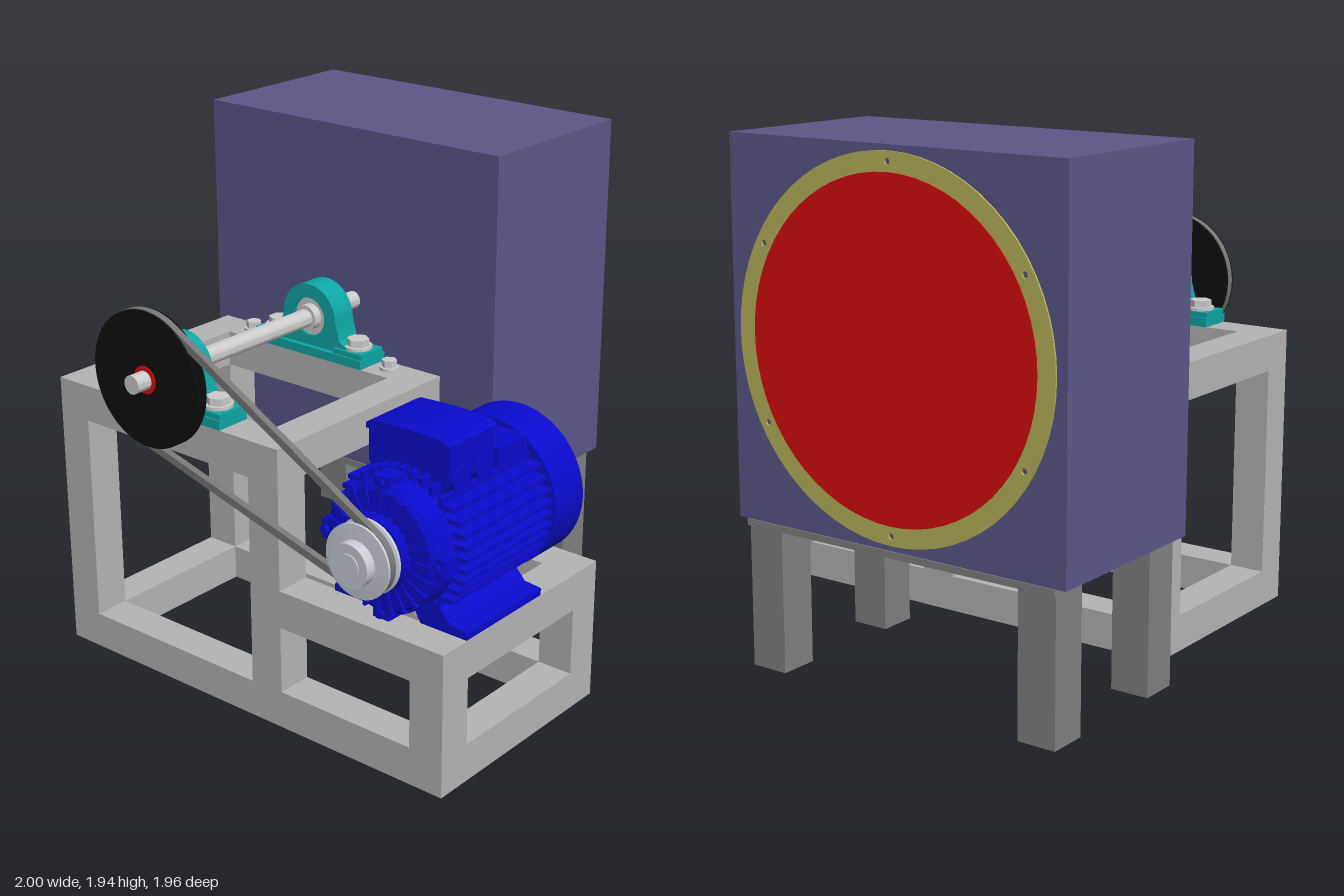
import * as THREE from 'three';
import { toCreasedNormals } from 'three/addons/utils/BufferGeometryUtils.js';

const mat = (color) => new THREE.MeshStandardMaterial({ color });
const M = {
  frame: mat(0xb4b4b4), stand: mat(0x808080), casing: mat(0x5a5789), steel: mat(0xc4c4c4), alloy: mat(0xc8cdd8),
  teal: mat(0x0fa5a5), blue: mat(0x0a0acc), black: mat(0x0e0e0e), red: mat(0xd80c0c), yellow: mat(0xb9b45a), belt: mat(0x777777),
};

function add(parent, name, geometry, material, x = 0, y = 0, z = 0) {
  const mesh = new THREE.Mesh(geometry, material);
  mesh.name = name;
  mesh.position.set(x, y, z);
  parent.add(mesh);
  return mesh;
}
function group(parent, name, x = 0, y = 0, z = 0) {
  const g = new THREE.Group();
  g.name = name;
  g.position.set(x, y, z);
  parent.add(g);
  return g;
}
// Box given by its limits on each axis
function box(parent, name, m, [x0, x1], [y0, y1], [z0, z1]) {
  return add(parent, name, new THREE.BoxGeometry(x1 - x0, y1 - y0, z1 - z0), m,
    (x0 + x1) / 2, (y0 + y1) / 2, (z0 + z1) / 2);
}
// Solid of revolution about z, profile of [radius, z] with z rising
function turned(parent, name, m, profile, x = 0, y = 0, z = 0, sides = 48) {
  const g = new THREE.LatheGeometry(profile.map(([r, h]) => new THREE.Vector2(r, h)), sides).rotateX(Math.PI / 2);
  return add(parent, name, toCreasedNormals(g, 0.5), m, x, y, z);
}
const rod = (parent, name, m, r, z0, z1, x = 0, y = 0, sides = 32) =>
  turned(parent, name, m, [[0, z0], [r, z0], [r, z1], [0, z1]], x, y, 0, sides);
// Outline extruded along z
function extruded(parent, name, m, shape, z0, z1) {
  const g = new THREE.ExtrudeGeometry(shape, { depth: z1 - z0, bevelEnabled: false, curveSegments: 32 });
  return add(parent, name, toCreasedNormals(g, 0.5), m, 0, 0, z0);
}
const polygon = (pts) => new THREE.Shape(pts.map(([x, y]) => new THREE.Vector2(x, y)));

function addFrame(root) {
  const f = group(root, 'machineFrame');
  const w = 0.14, zs = [[-0.09, 0.05], [0.68, 0.82]];
  for (const z of zs) {
    for (const x of [-0.82, 0.13]) box(f, 'tallPost', M.frame, [x, x + w], [0.01, 1.1], z);
    box(f, 'shortPost', M.frame, [0.855, 0.995], [0.01, 0.56], z);
    box(f, 'upperRail', M.frame, [-0.68, 0.13], [0.96, 1.1], z);
    box(f, 'leftBottomRail', M.frame, [-0.68, 0.13], [0.01, 0.15], z);
    for (const y of [0.01, 0.415]) box(f, 'motorBayRail', M.frame, [0.27, 0.855], [y, y + 0.145], z);
  }
  const span = [0.05, 0.68];
  for (const x of [-0.82, 0.13]) box(f, 'topCrossRail', M.frame, [x, x + w], [0.96, 1.1], span);
  box(f, 'sideBottomRail', M.frame, [-0.82, -0.68], [0.01, 0.15], span);
  for (const y of [0.01, 0.415]) box(f, 'motorEndRail', M.frame, [0.855, 0.995], [y, y + 0.145], span);
}

function addCasing(root) {
  const c = group(root, 'fanCasing');
  box(c, 'casingBox', M.casing, [-1, 0.415], [0.56, 1.94], [-0.97, -0.23]);
  box(c, 'standPlate', M.stand, [-0.96, 0.375], [0.535, 0.56], [-0.975, -0.225]);
  // Legs are open square tubes
  const h = 0.075, t = 0.06;
  for (const x of [-0.88, 0.3]) for (const z of [-0.315, -0.885]) {
    const tube = polygon([[-h, -h], [h, -h], [h, h], [-h, h]]);
    tube.holes.push(polygon([[-t, -t], [-t, t], [t, t], [t, -t]]));
    const g = new THREE.ExtrudeGeometry(tube, { depth: 0.535, bevelEnabled: false }).rotateX(-Math.PI / 2);
    add(c, 'standLeg', g, M.stand, x, 0, z);
  }
  // Round rear cover with a bolted rim
  const rim = new THREE.Shape().absarc(0, 0, 0.67, 0, Math.PI * 2);
  for (let i = 0; i < 6; i++) {
    const a = Math.PI / 2 + i * Math.PI / 3;
    rim.holes.push(new THREE.Path().absarc(0.635 * Math.cos(a), 0.635 * Math.sin(a), 0.011, 0, Math.PI * 2));
  }
  extruded(c, 'rearRim', M.yellow, rim, -0.977, -0.968).position.set(-0.29, 1.25, -0.977);
  rod(c, 'rearDisc', M.red, 0.6, -0.98, -0.972, -0.29, 1.25, 64);
}

function bolt(parent, x, y, z, r) {
  const b = group(parent, 'bolt', x, y, z);
  add(b, 'washer', new THREE.CylinderGeometry(r * 1.25, r * 1.25, 0.012, 24), M.steel, 0, 0.006, 0);
  add(b, 'hexHead', toCreasedNormals(new THREE.CylinderGeometry(r, r, 0.03, 6), 0.5), M.steel, 0, 0.024, 0);
}

function addBearing(root, z) {
  const b = group(root, 'pillowBearing', -0.27, 1.25, z);
  // Flanged foot and rounded housing in one outline
  const s = polygon([[-0.2, -0.15], [0.2, -0.15], [0.2, -0.1], [0.15, -0.07], [0.13, 0]]);
  s.absarc(0, 0, 0.13, 0, Math.PI);
  s.lineTo(-0.15, -0.07);
  s.lineTo(-0.2, -0.1);
  s.holes.push(new THREE.Path().absarc(0, 0, 0.075, 0, Math.PI * 2, true));
  extruded(b, 'housing', M.teal, s, -0.052, 0.052);
  box(b, 'footPlate', M.teal, [-0.27, 0.27], [-0.15, -0.115], [-0.072, 0.072]);
  for (const side of [-1, 1]) {
    const x = side * 0.2;
    box(b, 'footPad', M.teal, [x - 0.068, x + 0.068], [-0.12, -0.095], [-0.065, 0.065]);
    bolt(b, x, -0.095, 0, 0.044);
  }
  rod(b, 'bearingInsert', M.steel, 0.078, -0.04, 0.04);
  rod(b, 'lockCollar', M.steel, 0.05, -0.075, 0.075);
}

function addDrive(root) {
  const d = group(root, 'beltDrive');
  const A = [-0.27, 1.25], B = [0.705, 0.85];
  rod(d, 'driveShaft', M.steel, 0.035, -0.5, 0.975, ...A);
  turned(d, 'largePulley', M.black, [[0, 0.862], [0.255, 0.862], [0.255, 0.871], [0.225, 0.878], [0.225, 0.892],
    [0.255, 0.899], [0.255, 0.908], [0, 0.908]], ...A, 0, 64);
  rod(d, 'pulleyHub', M.red, 0.052, 0.8, 0.912, ...A);
  turned(d, 'smallPulley', M.alloy, [[0, 0.845], [0.1, 0.845], [0.135, 0.852], [0.135, 0.862], [0.1, 0.876], [0.1, 0.892],
    [0.135, 0.906], [0.135, 0.916], [0.08, 0.92], [0.08, 0.96], [0, 0.96]], ...B);
  rod(d, 'motorShaft', M.alloy, 0.045, 0.78, 0.965, ...B);
  // Belt loop from the tangents common to both pulleys
  const dx = B[0] - A[0], dy = B[1] - A[1], tilt = Math.atan2(dy, dx);
  const loop = (path, R, r) => {
    const a = Math.acos((R - r) / Math.hypot(dx, dy));
    path.absarc(...A, R, tilt + a, tilt - a + Math.PI * 2);
    path.absarc(...B, r, tilt - a, tilt + a);
    path.closePath();
    return path;
  };
  const belt = loop(new THREE.Shape(), 0.257, 0.13);
  belt.holes.push(loop(new THREE.Path(), 0.229, 0.102));
  extruded(d, 'belt', M.belt, belt, 0.872, 0.898);
}

function addMotor(root) {
  const m = group(root, 'motor', 0.705, 0.85, 0);
  rod(m, 'motorBody', M.blue, 0.225, 0.15, 0.72, 0, 0, 48);
  turned(m, 'fanCowl', M.blue, [[0, -0.07], [0.2, -0.07], [0.285, 0.01], [0.285, 0.18], [0, 0.18]]);
  turned(m, 'endShield', M.blue, [[0, 0.69], [0.235, 0.69], [0.235, 0.785], [0.215, 0.8], [0.14, 0.805],
    [0.12, 0.828], [0, 0.828]]);
  // Cooling fins, level on the flanks and upright above and below
  const reach = (o, r) => Math.sqrt(r * r - o * o);
  for (let i = -4; i <= 4; i++) {
    const o = i * 0.042;
    for (const s of [-1, 1]) {
      const tip = reach(o, 0.283), root0 = reach(o, 0.2);
      const xs = s > 0 ? [root0, tip] : [-tip, -root0];
      box(m, 'sideFin', M.blue, xs, [o - 0.008, o + 0.008], [0.19, 0.69]);
      const up = reach(o, 0.262);
      const ys = s > 0 ? [root0, up] : [-up, -root0];
      box(m, 'uprightFin', M.blue, [o - 0.008, o + 0.008], ys, [0.19, 0.69]);
    }
  }
  // Radial ribs and bolt ears on the end shield
  for (let i = 0; i < 24; i++) {
    const rib = group(m, 'shieldRib');
    rib.rotation.z = i * Math.PI / 12;
    box(rib, 'rib', M.blue, [0.13, 0.23], [-0.006, 0.006], [0.78, 0.81]);
  }
  for (let i = 0; i < 4; i++) {
    const ear = group(m, 'shieldEar');
    ear.rotation.z = i * Math.PI / 2;
    box(ear, 'ear', M.blue, [0.2, 0.262], [-0.035, 0.035], [0.71, 0.79]);
    rod(ear, 'earBolt', M.blue, 0.018, 0.78, 0.805, 0.24, 0, 6);
  }
  // Feet
  for (const s of [-1, 1]) {
    const pts = [[0.05, -0.22], [0.09, -0.285], [0.09, -0.289], [0.289, -0.289], [0.289, -0.262], [0.22, -0.255], [0.17, -0.2], [0.12, -0.17]]
      .map(([x, y]) => [x * s, y]);
    extruded(m, 'foot', M.blue, polygon(pts), 0.26, 0.69);
  }
  // Terminal box with lid and cable glands
  extruded(m, 'terminalBox', M.blue, polygon([[-0.14, 0.18], [0.14, 0.18], [0.172, 0.23], [0.172, 0.355], [-0.172, 0.355], [-0.172, 0.23]]), 0.4, 0.645);
  extruded(m, 'terminalLid', M.blue, polygon([[-0.177, 0.35], [0.177, 0.35], [0.177, 0.37], [0.15, 0.385], [0, 0.392],
    [-0.15, 0.385], [-0.177, 0.37]]), 0.39, 0.655);
  for (const z of [0.455, 0.585]) {
    const gland = new THREE.CylinderGeometry(0.048, 0.048, 0.012, 24).rotateZ(Math.PI / 2);
    add(m, 'cableGland', toCreasedNormals(gland, 0.5), M.blue, 0.174, 0.235, z);
  }
  box(m, 'topPad', M.blue, [-0.17, 0.17], [0.15, 0.27], [0.2, 0.37]);
}

export function createModel() {
  const root = new THREE.Group();
  root.name = 'beltDrivenFan';
  addFrame(root);
  addCasing(root);
  for (const z of [-0.02, 0.75]) addBearing(root, z);
  for (const x of [-0.62, 0.075]) bolt(root, x, 1.1, -0.03, 0.03);
  addDrive(root);
  addMotor(root);
  return root;
}
